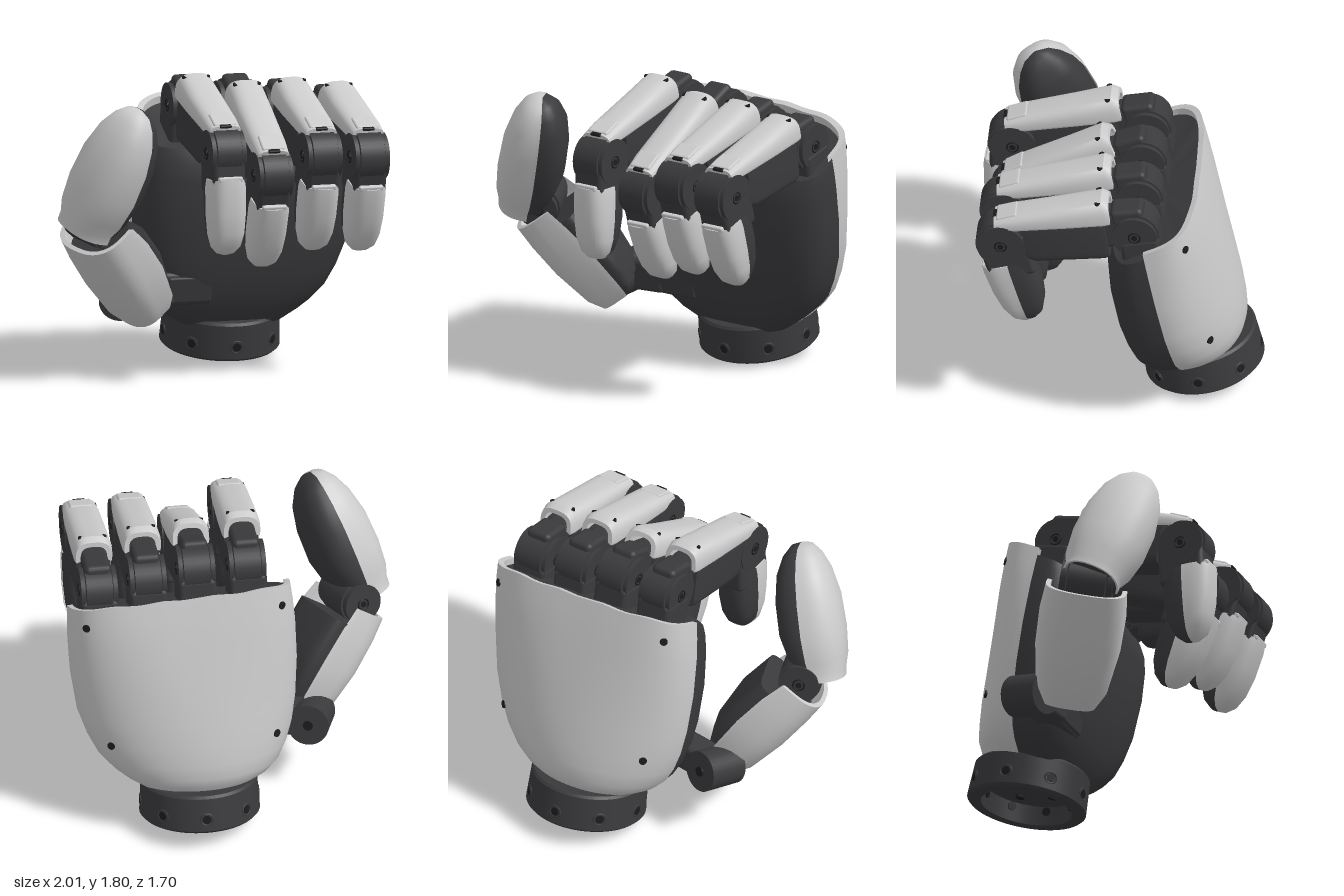
import * as THREE from 'three';
import { toCreasedNormals } from 'three/addons/utils/BufferGeometryUtils.js';
import { RoundedBoxGeometry } from 'three/addons/geometries/RoundedBoxGeometry.js';

const pale = new THREE.MeshStandardMaterial({ color: 0xcccccc, side: THREE.DoubleSide });
const dark = new THREE.MeshStandardMaterial({ color: 0x3a3a3d, side: THREE.DoubleSide });
const black = new THREE.MeshStandardMaterial({ color: 0x1c1c1e, side: THREE.DoubleSide });
const V = (x, y, z) => new THREE.Vector3(x, y, z);

function add(parent, name, geometry, material, x = 0, y = 0, z = 0) {
  const mesh = new THREE.Mesh(geometry, material);
  mesh.name = name;
  mesh.position.set(x, y, z);
  parent.add(mesh);
  return mesh;
}

// Point on a superellipse section [height, xMin, xMax, front depth, back depth, back exponent]
function sectionPoint([y, x0, x1, front, back, own], a, [nFront, nBack]) {
  const c = Math.cos(a), s = Math.sin(a), e = 2 / (s >= 0 ? nFront : own ?? nBack);
  const x = (x0 + x1) / 2 + (x1 - x0) / 2 * Math.sign(c) * Math.abs(c) ** e;
  return V(x, y, (s >= 0 ? front : back) * Math.sign(s) * Math.abs(s) ** e);
}

// Skin through sections, over a full turn or part of one
function loft(levels, { from = 0, to = Math.PI * 2, n = [2.5, 2.5], seg = 40, warp, cap = true } = {}) {
  const flat = ([y, x0, x1]) => [y, (x0 + x1) / 2, (x0 + x1) / 2, 0, 0];
  const rings = cap ? [flat(levels[0]), ...levels, flat(levels.at(-1))] : levels;
  const pos = [], idx = [], w = seg + 1;
  rings.forEach((l, i) => {
    for (let j = 0; j <= seg; j++) {
      const p = sectionPoint(l, from + (to - from) * j / seg, n);
      if (warp) warp(p);
      pos.push(p.x, p.y, p.z);
      if (i && j) {
        const b = i * w + j, a = b - w;
        idx.push(a - 1, b - 1, a, a, b - 1, b);
      }
    }
  });
  const g = new THREE.BufferGeometry();
  g.setAttribute('position', new THREE.Float32BufferAttribute(pos, 3));
  g.setIndex(idx);
  return toCreasedNormals(g, 0.6);
}

// Thin cover: outer skin folded back over its rim to an inner skin
function cover(levels, t, opts) {
  const grow = (l, d) => [l[0], l[1] - d, l[2] + d, l[3] + d, l[4] + d, l[5]];
  const outer = levels.map(l => grow(l, 0.008)), inner = levels.map(l => grow(l, -t)).reverse();
  return loft([...outer, ...inner, outer[0]], { ...opts, cap: false });
}

// Symmetric sections from [height, half width, front, back]
const sym = rows => rows.map(([y, w, f, b]) => [y, -w, w, f, b]);

// Group whose y runs from a to b and whose z leans toward the outward direction
function link(parent, name, a, b, out) {
  const g = new THREE.Group(), y = b.clone().sub(a).normalize();
  const x = y.clone().cross(out).normalize(), z = x.clone().cross(y);
  g.quaternion.setFromRotationMatrix(new THREE.Matrix4().makeBasis(x, y, z));
  g.position.copy(a);
  g.name = name;
  parent.add(g);
  return g;
}

const axle = (r, len) => new THREE.CylinderGeometry(r, r, len, 32).rotateZ(Math.PI / 2);

// Round joint with side plates and pivot screws
function joint(parent, name, r, width, y = 0) {
  const g = new THREE.Group();
  g.name = name;
  g.position.y = y;
  parent.add(g);
  add(g, 'drum', axle(r, width * 0.72), dark);
  for (const s of [-1, 1]) {
    add(g, 'sidePlate', axle(r * 0.93, width * 0.12), dark, s * width * 0.44);
    add(g, 'pivotRing', new THREE.TorusGeometry(0.034, 0.005, 6, 20).rotateY(Math.PI / 2), black, s * width * 0.5);
    add(g, 'pivotScrew', axle(0.018, 0.01), black, s * width * 0.5);
  }
}

function finger(parent, name, x, k, p, t) {
  const g = new THREE.Group();
  g.name = name;
  parent.add(g);
  const K = V(x, k[1], k[0]), P = V(x, p[1], p[0]), T = V(x, t[1], t[0]);

  // Knuckle and its yoke in the palm
  add(g, 'knuckleYoke', new RoundedBoxGeometry(0.23, 0.3, 0.24, 2, 0.03), dark, x, k[1] - 0.17, k[0] - 0.05).rotation.x = 0.19;
  const prox = link(g, 'proximalLink', K, P, V(0, 1, 0)), L = K.distanceTo(P);
  joint(prox, 'knuckle', 0.145, 0.22);
  add(prox, 'knuckleTop', new RoundedBoxGeometry(0.16, 0.2, 0.12, 2, 0.03), dark, 0, 0.03, 0.115);
  add(prox, 'knuckleArm', new RoundedBoxGeometry(0.15, 0.28, 0.24, 2, 0.03), dark, 0, 0.1, 0.03);

  // Tall bone with a pale cover on top
  add(prox, 'bone', loft(sym([[0.17, 0.1, 0.14, 0.15], [0.2, 0.107, 0.145, 0.155],
    [L - 0.2, 0.107, 0.145, 0.14], [L - 0.14, 0.1, 0.14, 0.12]]), { n: [7, 7] }), dark);
  add(prox, 'topCover', cover(sym([[0.13, 0.1, 0.105, 0.03], [0.17, 0.108, 0.13, 0.03], [0.4, 0.108, 0.1, 0.03],
    [L - 0.1, 0.1, 0.068, 0.03], [L + 0.02, 0.09, 0.045, 0.03]]), 0.02,
    { from: -0.3, to: Math.PI + 0.3, n: [3, 3], seg: 28 }), pale, 0, 0, 0.125);
  add(prox, 'coverTab', new RoundedBoxGeometry(0.14, 0.13, 0.03, 2, 0.012), pale, 0, L - 0.06, 0.183).rotation.x = -0.17;
  add(prox, 'tabSlot', new RoundedBoxGeometry(0.075, 0.03, 0.02, 1, 0.008), black, 0, L + 0.012, 0.172);
  for (const s of [-1, 1])
    add(prox, 'coverScrew', new THREE.CylinderGeometry(0.018, 0.018, 0.03, 16).rotateX(Math.PI / 2), black, s * 0.068, 0.19, 0.236);

  // Middle joint and fingertip
  const tip = link(g, 'distalLink', P, T, V(0, 0, 1));
  joint(tip, 'middleJoint', 0.152, 0.21);
  add(tip, 'bracket', new RoundedBoxGeometry(0.2, 0.28, 0.29, 2, 0.03), dark, 0, 0.11, -0.01);
  const rows = [[0.15, 0.1, 0.16, 0.145], [0.2, 0.108, 0.162, 0.15], [0.36, 0.108, 0.15, 0.15],
    [0.48, 0.1, 0.125, 0.13], [0.56, 0.08, 0.088, 0.095], [0.6, 0.045, 0.045, 0.05], [0.612, 0.005, 0.005, 0.005]];
  add(tip, 'fingertip', loft(sym(rows), { n: [3, 3] }), dark);
  add(tip, 'fingertipCover', cover(sym(rows), 0.004, { to: Math.PI, n: [3, 3], seg: 28 }), pale);
  add(tip, 'coverCuff', new RoundedBoxGeometry(0.15, 0.03, 0.05, 2, 0.01), pale, 0, 0.145, 0.135);
}

export function createModel() {
  const model = new THREE.Group();
  model.name = 'mechanicalHand';

  // Palm and wrist share one forward lean
  const hand = new THREE.Group();
  hand.name = 'palmAndWrist';
  hand.position.set(0, 0.068, -0.49);
  hand.rotation.x = 0.19;
  model.add(hand);

  // Hollow wrist ring with bolts
  const wrist = new THREE.Group();
  wrist.name = 'wrist';
  wrist.position.set(0.24, 0, -0.012);
  hand.add(wrist);
  const profile = [[0, 0.12], [0.275, 0.12], [0.275, 0], [0.345, 0], [0.36, 0.015], [0.348, 0.22], [0.335, 0.235], [0, 0.235]];
  add(wrist, 'wristRing', toCreasedNormals(new THREE.LatheGeometry(profile.map(q => new THREE.Vector2(...q)), 64), 0.5), dark);
  for (let i = 0; i < 8; i++) {
    const a = i * Math.PI / 4, s = Math.sin(a), c = Math.cos(a);
    add(wrist, 'wristHole', new THREE.CylinderGeometry(0.026, 0.026, 0.092, 16).rotateX(Math.PI / 2), black,
      0.313 * s, 0.09, 0.313 * c).rotation.y = a;
    add(wrist, 'wristHoleRim', new THREE.TorusGeometry(0.036, 0.007, 6, 20), dark, 0.352 * s, 0.09, 0.352 * c).rotation.y = a;
    if (i % 2) add(wrist, 'innerBolt', new THREE.CylinderGeometry(0.03, 0.03, 0.02, 6), black, 0.15 * s, 0.115, 0.15 * c);
  }

  // Palm body and back shell: arched low down, squarer toward the knuckles
  const palm = [[0.2, -0.08, 0.58, 0.21, 0.27, 2.1], [0.27, -0.19, 0.68, 0.245, 0.34, 2.1], [0.33, -0.245, 0.75, 0.27, 0.365, 2.1],
    [0.42, -0.29, 0.83, 0.295, 0.378, 2], [0.54, -0.325, 0.89, 0.312, 0.382, 2], [0.7, -0.35, 0.945, 0.322, 0.38, 2],
    [0.95, -0.365, 0.98, 0.318, 0.365, 2.2], [1.18, -0.358, 0.99, 0.295, 0.345, 2.7], [1.3, -0.345, 0.99, 0.272, 0.33, 3.1]];
  const n = [3.4, 2.3];
  const raiseBack = p => {
    const k = THREE.MathUtils.smoothstep(p.y, 0.95, 1.4);
    p.y += k * (-0.27 * p.z - 0.05 * (p.x - 0.3) - 0.005 * Math.cos(p.x * 21));
  };
  add(hand, 'palmBody', loft([...palm, [1.365, -0.335, 0.985, 0.235, 0.32, 3.4]].map(([y, a, b, f, k, m]) => [y, a, b, f, k - 0.03, m]),
    { n, seg: 72, warp: raiseBack }), dark, 0, 0, 0.044);
  add(hand, 'backShell', cover([...palm, [1.41, -0.33, 0.985, 0.27, 0.315, 3.5]], 0.025,
    { from: Math.PI, to: Math.PI * 2, n, seg: 60, warp: raiseBack }), pale, 0, 0, 0.044);

  // Shell screws, set on the surface
  for (const row of [4, 8]) for (const a of [1.2 * Math.PI, 1.8 * Math.PI]) {
    const p = sectionPoint(palm[row], a, n);
    raiseBack(p);
    const out = V(Math.cos(a) * 0.5, 0, Math.sin(a)).normalize();
    const screw = add(hand, 'shellScrew', new THREE.CylinderGeometry(0.024, 0.024, 0.03, 20), black, p.x, p.y, p.z + 0.044);
    screw.quaternion.setFromUnitVectors(V(0, 1, 0), out);
  }

  // Thumb mount on the palm
  add(hand, 'thumbMount', new RoundedBoxGeometry(0.35, 0.21, 0.28, 3, 0.03), dark, -0.085, 0.47, 0.19);
  add(hand, 'thumbMountPlate', new RoundedBoxGeometry(0.27, 0.16, 0.03, 2, 0.012), dark, -0.07, 0.47, 0.33);

  // Fingers: knuckle, middle joint and tip as [z, y]
  finger(model, 'indexFinger', -0.085, [-0.13, 1.58], [0.67, 1.42], [0.7, 0.82]);
  finger(model, 'middleFinger', 0.22, [-0.13, 1.575], [0.63, 1.265], [0.42, 0.69]);
  finger(model, 'ringFinger', 0.512, [-0.13, 1.525], [0.67, 1.375], [0.5, 0.78]);
  finger(model, 'littleFinger', 0.805, [-0.13, 1.476], [0.67, 1.357], [0.5, 0.77]);

  // Thumb base hinge
  const thumb = new THREE.Group();
  thumb.name = 'thumb';
  model.add(thumb);
  const arm = link(thumb, 'thumbBaseArm', V(-0.2, 0.47, -0.15), V(-0.46, 0.45, -0.17), V(0, 0, 1));
  add(arm, 'armBlock', new RoundedBoxGeometry(0.19, 0.32, 0.17, 2, 0.03), dark, 0, 0.12, 0);
  const hinge = link(thumb, 'baseHinge', V(-0.51, 0.42, -0.06), V(-0.44, 0.47, -0.29), V(0, 1, 0));
  add(hinge, 'hingeDrum', new THREE.CylinderGeometry(0.125, 0.125, 0.25, 32), dark, 0, 0.125, 0);
  add(hinge, 'hingeScrew', new THREE.CylinderGeometry(0.03, 0.03, 0.02, 16), black, 0, 0.25, 0);

  // Lower thumb link in a wrapped cover
  const lower = link(thumb, 'lowerThumbLink', V(-0.42, 0.44, 0.06), V(-0.78, 0.98, 0.32), V(-0.7, -0.6, 0.2));
  const lowerRows = [[-0.07, 0.15, 0.13, 0.12], [0.03, 0.205, 0.17, 0.17], [0.28, 0.245, 0.2, 0.2], [0.5, 0.25, 0.205, 0.18], [0.65, 0.235, 0.2, 0.13]];
  add(lower, 'lowerCover', cover(sym(lowerRows), 0.02, { from: -0.3, to: Math.PI + 0.3, n: [2.6, 5] }), pale);
  add(lower, 'lowerBody', loft(sym(lowerRows.slice(0, 4).map(([y, w, f, b]) => [y + 0.04, w - 0.025, f - 0.03, b])), { n: [2.6, 6] }), dark);
  joint(lower, 'thumbJoint', 0.13, 0.32, 0.68);

  // Thumb tip with its pale outer half
  const upper = link(thumb, 'thumbTipLink', V(-0.82, 1.0, 0.38), V(-0.57, 1.7, 0.59), V(-0.8, 0.25, 0.5));
  const upperRows = [[-0.02, 0.17, 0.17, 0.1], [0.06, 0.2, 0.19, 0.15], [0.22, 0.222, 0.2, 0.19], [0.42, 0.215, 0.19, 0.19],
    [0.58, 0.18, 0.155, 0.165], [0.68, 0.13, 0.112, 0.12], [0.74, 0.075, 0.065, 0.065], [0.76, 0.005, 0.005, 0.005]];
  add(upper, 'thumbTip', loft(sym(upperRows), { n: [2.4, 2.8] }), dark);
  add(upper, 'thumbTipCover', cover(sym([[-0.07, 0.17, 0.165, 0.1], ...upperRows]), 0.004,
    { from: -0.1, to: Math.PI + 0.1, n: [2.4, 2.8] }), pale);
  return model;
}
